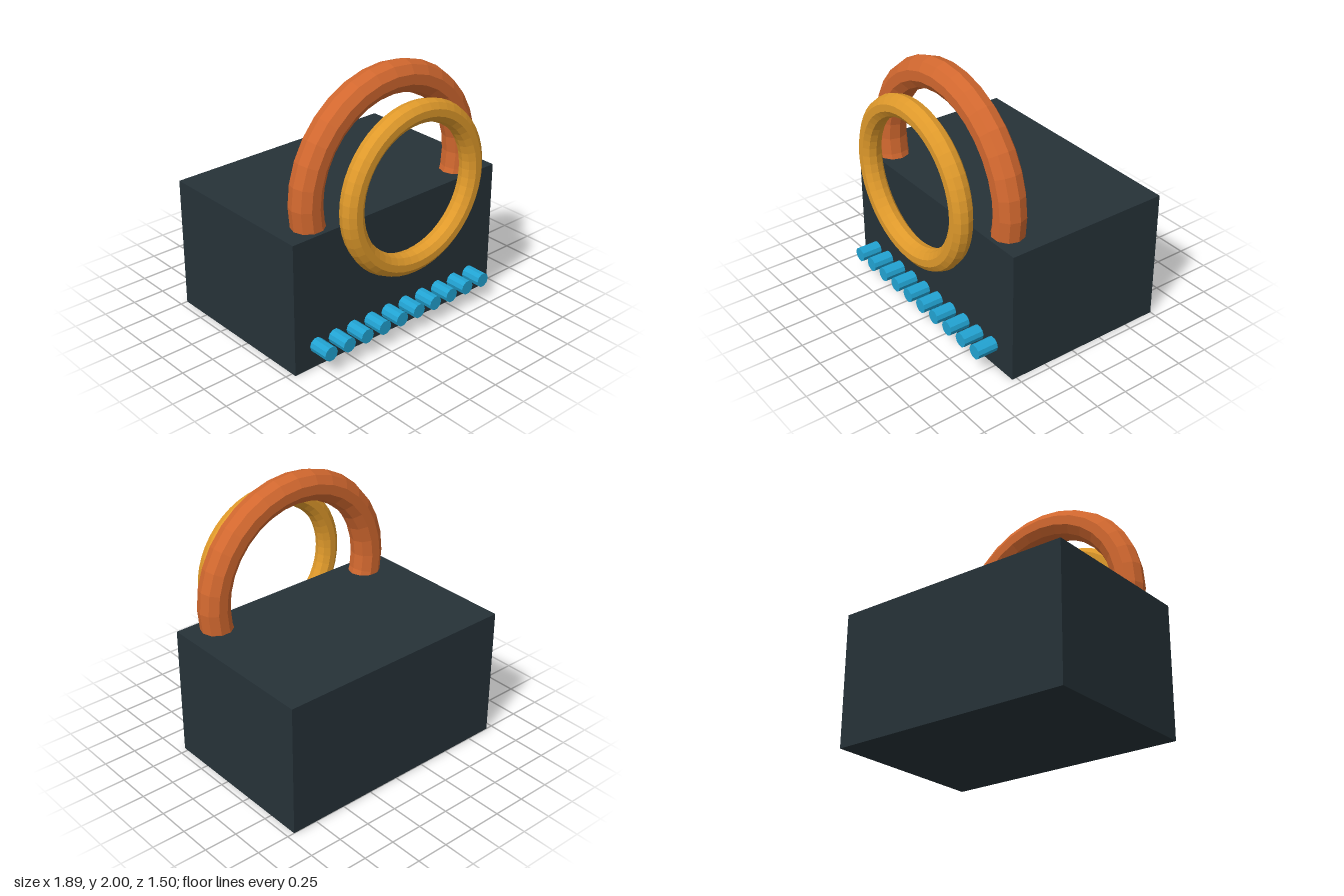
import * as THREE from 'three';

export function createModel() {
  const group = new THREE.Group();
  const mat = (name, color) => {
    const m = new THREE.MeshStandardMaterial({ color, flatShading: true });
    m.name = name;
    return m;
  };
  const slate = mat('dark slate', 0x263238);
  const orange = mat('burnt orange', 0xd2682f);
  const amber = mat('amber', 0xe09a2b);
  const blue = mat('bright blue', 0x22a3d2);

  const add = (name, geometry, material, x, y, z) => {
    const mesh = new THREE.Mesh(geometry, material);
    mesh.name = name;
    mesh.position.set(x, y, z);
    group.add(mesh);
    return mesh;
  };

  // Solid case
  add('caseBody', new THREE.BoxGeometry(1.89, 1.006, 1.286), slate, 0, 0.503, -0.107);

  // Large ring sunk into the case, and the thinner ring in front of it
  add('archRing', new THREE.TorusGeometry(0.718, 0.118, 10, 32), orange, 0, 1.164, 0.393);
  add('frontRing', new THREE.TorusGeometry(0.557, 0.083, 10, 48), amber, 0, 1.164, 0.671);

  // Row of ten pegs along the lower front
  const pegGeometry = new THREE.CylinderGeometry(0.0555, 0.0555, 0.17, 10, 1, false, Math.PI / 2);
  pegGeometry.rotateX(Math.PI / 2);
  for (let i = 0; i < 10; i++) {
    add(`peg${i + 1}`, pegGeometry, blue, -0.758 + i * 0.1647, 0.176, 0.611);
  }

  return group;
}
